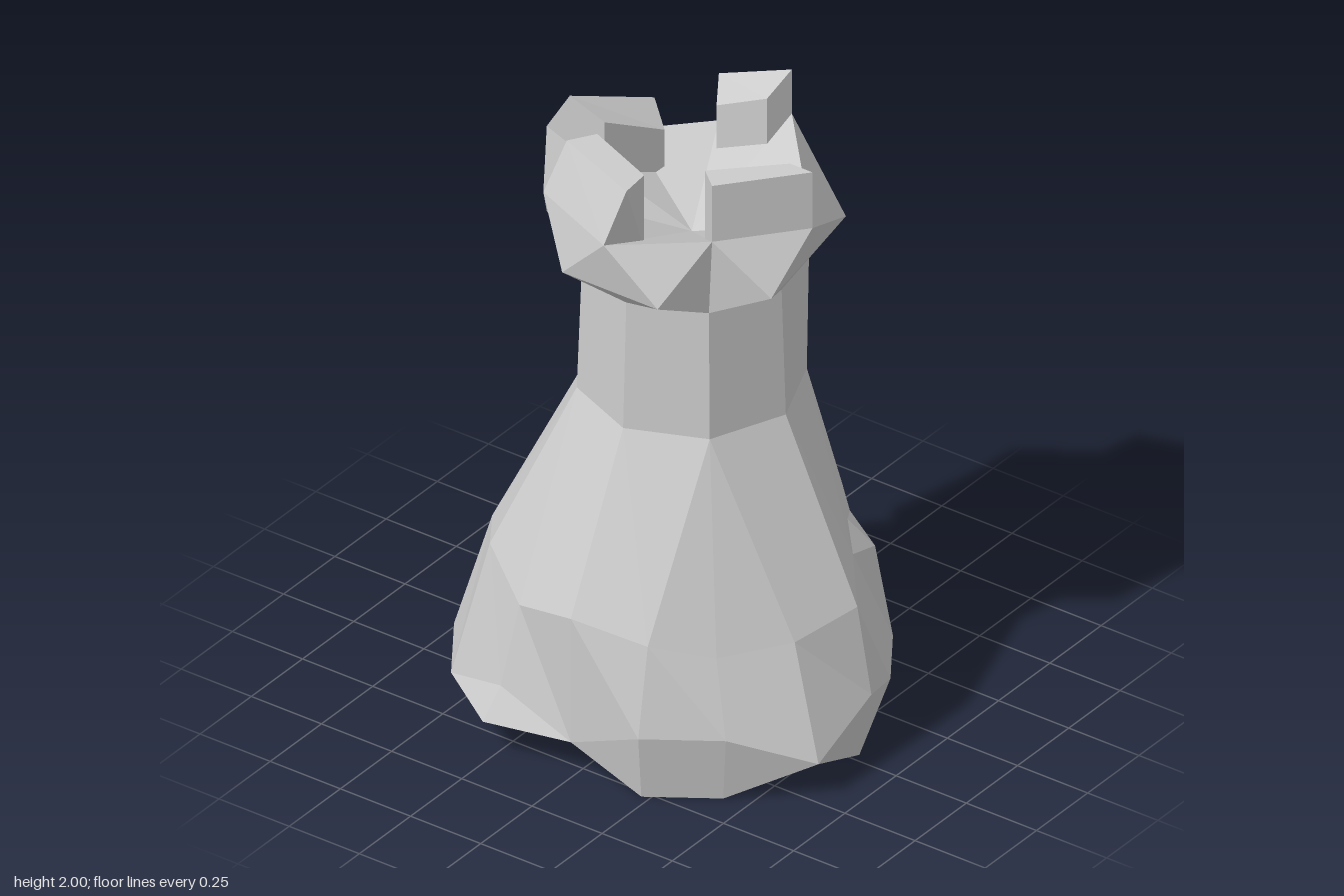
import * as THREE from 'three';

const material = new THREE.MeshStandardMaterial({ color: 0xcccccc, flatShading: true });
const CENTRE_Z = -0.03;

// Collect triangles, dropping those that collapse where rings share points
function tri(out, a, b, c) {
  const [p, q, r] = [a, b, c].map((v) => new THREE.Vector3(...v));
  if (q.sub(p).cross(r.sub(p)).length() > 1e-6) out.push(...a, ...b, ...c);
}

// Walls between two closed loops
function band(out, low, up) {
  low.forEach((a, i) => {
    const j = (i + 1) % low.length;
    tri(out, a, up[i], up[j]);
    tri(out, a, up[j], low[j]);
  });
}

// Fan from a point to a closed loop
function fan(out, loop, centre, facingUp) {
  loop.forEach((a, i) => {
    const b = loop[(i + 1) % loop.length];
    if (facingUp) tri(out, centre, b, a);
    else tri(out, centre, a, b);
  });
}

function mesh(name, positions) {
  const geometry = new THREE.BufferGeometry();
  geometry.setAttribute('position', new THREE.Float32BufferAttribute(positions, 3));
  geometry.computeVertexNormals();
  const m = new THREE.Mesh(geometry, material);
  m.name = name;
  return m;
}

// Regular eight-sided ring
const octagon = (r, y) => Array.from({ length: 8 }, (_, i) => {
  const a = (i * Math.PI) / 4;
  return [r * Math.cos(a), y, r * Math.sin(a) + CENTRE_Z];
});

// Neck, with the back corners of its top knocked out of line
const neckLow = octagon(0.335, 1.06);
const neckTop = octagon(0.32, 1.48);
neckTop[5] = [-0.23, 1.48, -0.2];
neckTop[6] = [-0.12, 1.48, -0.32];
neckTop[7] = [0.2, 1.48, -0.33];

// Sixteen columns round the foot: outer x, z, then shoulder x, y, z
const columns = [
  [0.64, -0.03, 0.59, 0.5, -0.03], [0.645, 0.235, 0.52, 0.46, 0.18],
  [0.45, 0.42, 0.38, 0.45, 0.37], [0.24, 0.56, 0.23, 0.5, 0.5],
  [0, 0.56, 0, 0.54, 0.56], [-0.27, 0.62, -0.22, 0.48, 0.51],
  [-0.5, 0.46, -0.42, 0.55, 0.38], [-0.65, 0.24, -0.55, 0.5, 0.19],
  [-0.64, -0.03, -0.48, 0.48, -0.03], [-0.54, -0.26, -0.47, 0.45, -0.23],
  [-0.5, -0.53, -0.4, 0.55, -0.42], [-0.24, -0.62, -0.23, 0.5, -0.57],
  [0, -0.62, 0, 0.5, -0.57], [0.22, -0.57, 0.22, 0.45, -0.5],
  [0.41, -0.45, 0.39, 0.45, -0.39], [0.54, -0.26, 0.45, 0.54, -0.2],
];
const standing = [0, 2, 3, 8, 11]; // columns with a full-height edge; the rest are chipped to a point

function createBody() {
  const out = [];
  const foot = columns.map(([x, z], i) => (standing.includes(i) ? [x * 0.935, 0, z * 0.935] : [x, 0.12, z]));
  const edge = columns.map(([x, z], i) => [x, standing.includes(i) ? 0.22 : 0.12, z]);
  edge[5] = [-0.25, 0.22, 0.56]; // spur at the front
  const shoulder = columns.map((c) => c.slice(2));
  // Flat cut at the back, ending in a small ledge
  const ledge = [...shoulder];
  ledge[13] = [0.2, 0.54, -0.49];
  ledge[14] = [0.325, 0.54, -0.345];

  fan(out, foot, [0, 0, CENTRE_Z], false);
  band(out, foot, edge);
  band(out, edge, shoulder);
  band(out, shoulder, ledge);
  // Sixteen shoulder points narrow to the eight sides of the neck
  neckLow.forEach((a, i) => {
    const b = neckLow[(i + 1) % 8];
    const middle = ledge[2 * i + 1];
    tri(out, ledge[2 * i], a, middle);
    tri(out, middle, a, b);
    tri(out, middle, b, ledge[(2 * i + 2) % 16]);
  });
  band(out, neckLow, neckTop);
  return mesh('body', out);
}

// Flared crown with notched corners and a hollow top
const flare = [
  [0.4, 1.56, 0.13], [0.17, 1.56, 0.37], [-0.17, 1.56, 0.37], [-0.4, 1.56, 0.13],
  [-0.33, 1.57, -0.17], [-0.31, 1.56, -0.34], [0, 1.56, -0.48], [0.33, 1.58, -0.33],
];
const rim = [
  [0.43, 1.73, -0.03], [0.24, 1.73, 0.2], [0, 1.73, 0.4], [-0.31, 1.73, 0.27],
  [-0.4, 1.85, 0.13], [-0.31, 1.73, -0.15], [-0.13, 1.73, -0.34], [0.13, 1.85, -0.34],
];
const notched = [1, 3, 6, 7]; // corners folded inwards from rim to neck

function createCrown() {
  const out = [];
  for (let i = 0; i < 8; i++) {
    const j = (i + 1) % 8;
    tri(out, neckTop[i], flare[i], neckTop[j]);
    if (i === 6) {
      // Back wall set in behind its spur
      tri(out, flare[i], rim[i], neckTop[j]);
      tri(out, rim[i], rim[j], neckTop[j]);
      tri(out, rim[j], flare[j], neckTop[j]);
      continue;
    }
    tri(out, flare[i], rim[i], rim[j]);
    if (notched.includes(j)) {
      tri(out, flare[i], rim[j], neckTop[j]);
      tri(out, rim[j], flare[j], neckTop[j]);
    } else {
      tri(out, flare[i], rim[j], flare[j]);
      tri(out, flare[i], flare[j], neckTop[j]);
    }
  }
  fan(out, rim, [0, 1.56, CENTRE_Z], true);
  return mesh('crown', out);
}

// Battlements: each stands on one rim edge; top corners run outer, outer, inner, inner
const battlements = [
  [0, [[0.43, 1.92, -0.03], [0.24, 1.92, 0.2], [0.175, 1.92, 0.145], [0.35, 1.92, -0.03]]],
  [2, [[0.03, 1.89, 0.33], [-0.27, 1.89, 0.21], [-0.22, 1.89, 0.13], [0.02, 1.89, 0.23]]],
  [4, [[-0.34, 1.96, 0.1], [-0.25, 1.84, -0.19], [-0.17, 1.79, -0.13], [-0.23, 1.9, 0.08]]],
  [6, [[-0.13, 1.89, -0.34], [0.13, 2, -0.34], [0.1, 1.93, -0.26], [-0.08, 1.84, -0.26]]],
];

function createBattlement([edge, top]) {
  const out = [];
  const inner = top.slice(2).map(([x, , z]) => [x, 1.64, z]);
  band(out, [rim[edge], rim[edge + 1], ...inner], top);
  tri(out, top[0], top[2], top[1]);
  tri(out, top[0], top[3], top[2]);
  return mesh('battlement', out);
}

export function createModel() {
  const model = new THREE.Group();
  model.name = 'chessRook';
  model.add(createBody(), createCrown(), ...battlements.map(createBattlement));
  return model;
}
